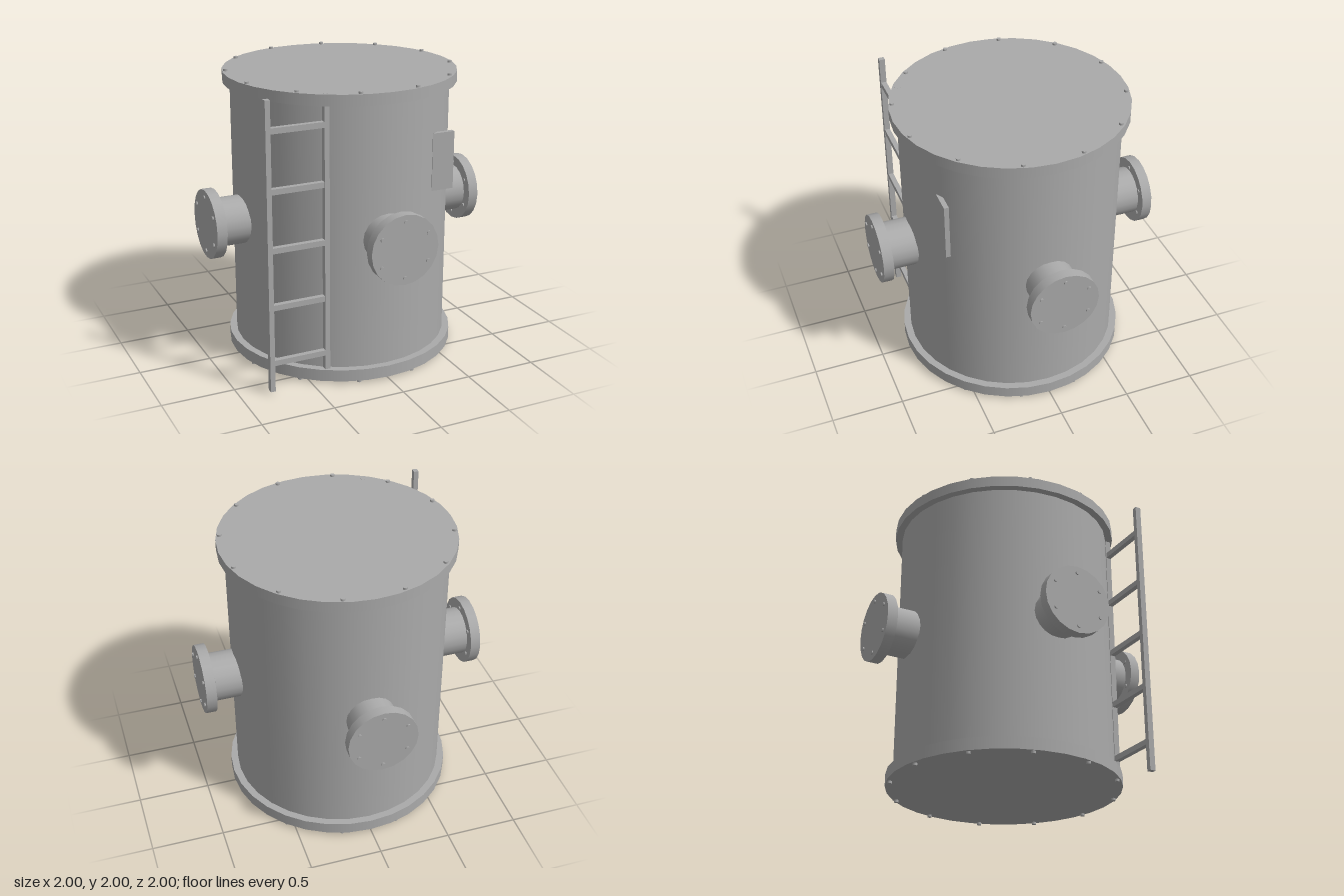
import * as THREE from 'three';

export function createModel() {
  const model = new THREE.Group();
  model.name = 'processTank';
  const steel = new THREE.MeshStandardMaterial({ color: 0xaaaaaa });
  steel.name = 'grey steel';

  const add = (parent, name, geometry, x = 0, y = 0, z = 0) => {
    const mesh = new THREE.Mesh(geometry, steel);
    mesh.name = name;
    mesh.position.set(x, y, z);
    parent.add(mesh);
    return mesh;
  };
  // Upright cylinder spanning y0..y1
  const drum = (parent, name, r, y0, y1, sides, x = 0, z = 0) =>
    add(parent, name, new THREE.CylinderGeometry(r, r, y1 - y0, sides), x, (y0 + y1) / 2, z);
  // Ring of bolts around the y axis
  const boltRing = (parent, name, count, radius, start, r, y0, y1) => {
    for (let i = 0; i < count; i++) {
      const a = start + (i * Math.PI * 2) / count;
      drum(parent, name, r, y0, y1, 10, Math.sin(a) * radius, Math.cos(a) * radius);
    }
  };

  // Vessel with bolted end plates
  drum(model, 'tankBody', 0.745, 0.06, 1.95, 32);
  drum(model, 'bottomFlange', 0.795, 0.02, 0.102, 32);
  drum(model, 'topFlange', 0.795, 1.91, 1.986, 32);
  boltRing(model, 'bottomBolt', 12, 0.77, Math.PI / 12, 0.015, 0.003, 0.08);
  boltRing(model, 'topBolt', 12, 0.77, Math.PI / 12, 0.015, 1.93, 2.0);

  // Four blanked nozzles, built along y then tipped outwards
  for (let i = 0; i < 4; i++) {
    const turn = new THREE.Group();
    turn.name = 'nozzle';
    turn.position.y = 1.003;
    turn.rotation.y = (i * Math.PI) / 2;
    const nozzle = new THREE.Group();
    nozzle.name = 'nozzleAssembly';
    nozzle.rotation.x = Math.PI / 2;
    drum(nozzle, 'nozzlePipe', 0.167, 0.68, 0.93, 20);
    drum(nozzle, 'nozzleFlange', 0.238, 0.918, 0.989, 20);
    boltRing(nozzle, 'nozzleBolt', 6, 0.19, 0, 0.013, 0.91, 0.998);
    turn.add(nozzle);
    model.add(turn);
  }

  // Side ladder
  const ladder = new THREE.Group();
  ladder.name = 'ladder';
  for (const x of [-0.788, -0.394])
    add(ladder, 'ladderRail', new THREE.BoxGeometry(0.034, 1.967, 0.04), x, 1.0035, 0.645);
  for (let i = 0; i < 5; i++)
    add(ladder, 'ladderRung', new THREE.BoxGeometry(0.37, 0.038, 0.036), -0.591, 0.222 + i * 0.392, 0.645);
  model.add(ladder);

  // Data plate
  add(model, 'dataPlate', new THREE.BoxGeometry(0.16, 0.395, 0.032), 0.455, 1.437, 0.629);

  return model;
}
